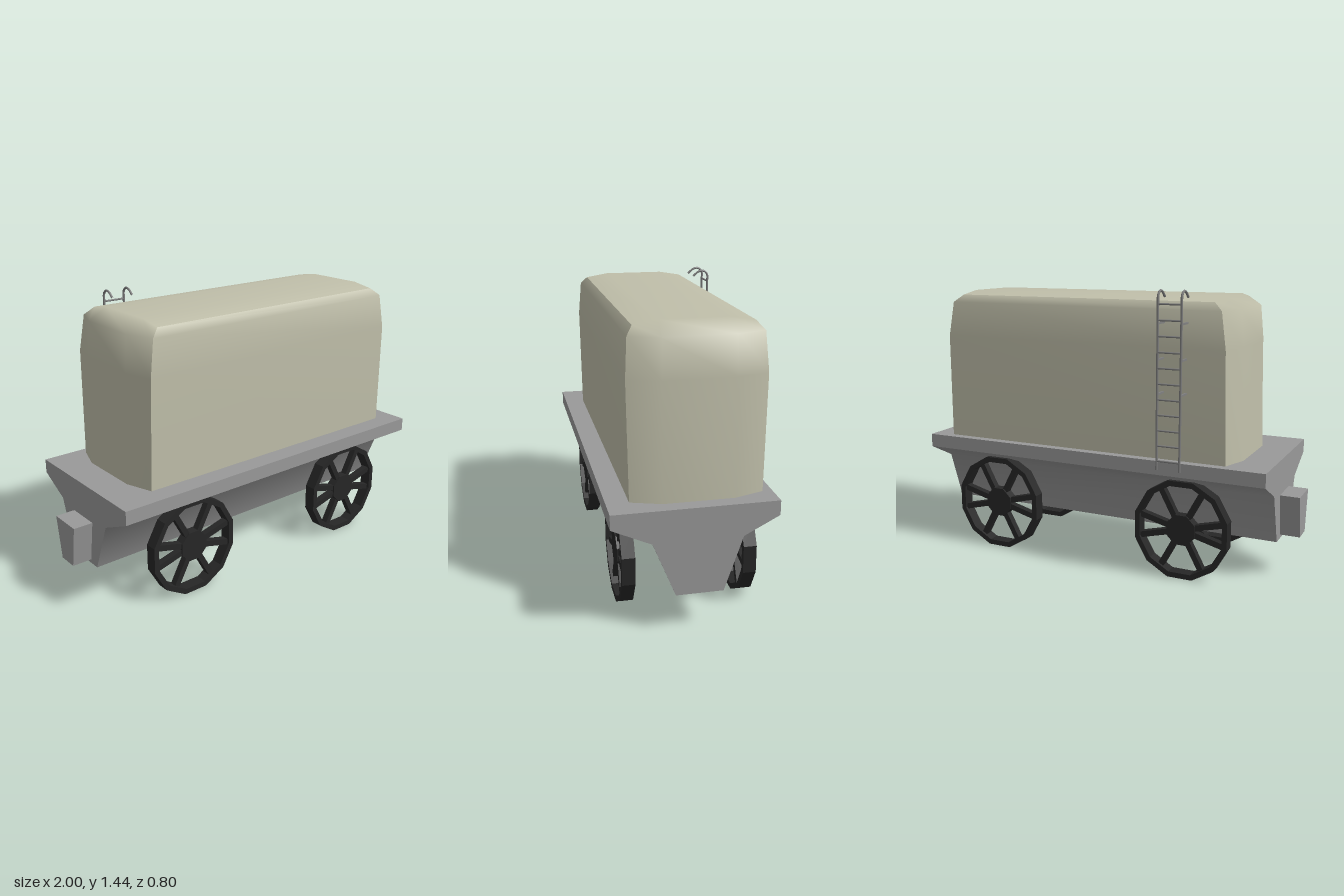
import * as THREE from 'three';
import { toCreasedNormals } from 'three/addons/utils/BufferGeometryUtils.js';

const mat = (color, flatShading = false) => new THREE.MeshStandardMaterial({ color, flatShading });
const steel = mat(0x999999);
const cream = mat(0xc0bfaa);
const black = mat(0x262626, true);
const ladderMat = mat(0x808080);

function add(parent, name, geometry, material, x = 0, y = 0, z = 0) {
  const mesh = new THREE.Mesh(geometry, material);
  mesh.name = name;
  mesh.position.set(x, y, z);
  parent.add(mesh);
  return mesh;
}

// Prism along x from a list of [z, y] profile points
function prism(profile, x0, x1) {
  const shape = new THREE.Shape(profile.map(([z, y]) => new THREE.Vector2(-z, y)));
  const geo = new THREE.ExtrudeGeometry(shape, { depth: x1 - x0, bevelEnabled: false });
  geo.rotateY(Math.PI / 2).translate(x0, 0, 0);
  return toCreasedNormals(geo, 0.9);
}

// Smooth panel from equal rows of points
function panel(rows) {
  const n = rows[0].length, index = [];
  for (let i = 0; i < rows.length - 1; i++) {
    for (let j = 0; j < n - 1; j++) {
      const a = i * n + j, b = a + n;
      index.push(a, a + 1, b, b, a + 1, b + 1);
    }
  }
  const geo = new THREE.BufferGeometry();
  geo.setAttribute('position', new THREE.Float32BufferAttribute(rows.flat(2), 3));
  geo.setIndex(index);
  geo.computeVertexNormals();
  return geo;
}

function makeTank() {
  const tank = new THREE.Group();
  tank.name = 'tank';
  const mid = 0.097, zMid = -0.01;
  // Levels: corner height, end height, corner half length and width, end half length and width
  const levels = [
    [0.61, 0.61, 0.787, 0.306, 0.834, 0.165],
    [1.16, 1.16, 0.777, 0.316, 0.817, 0.167],
    [1.34, 1.34, 0.75, 0.304, 0.802, 0.165],
    [1.378, 1.397, 0.705, 0.273, 0.705, 0.158],
  ];
  // Both ends and the roof form one continuous panel
  const endRow = s => ([yc, ye, xc, zc, xe, ze]) => [
    [s * xc, yc, -zc], [s * xe, ye, -ze], [s * xe, ye, ze], [s * xc, yc, zc],
  ];
  const roofRows = [...levels.map(endRow(-1)), ...levels.map(endRow(1)).reverse()];
  add(tank, 'tankEndsAndRoof', panel(roofRows), cream, mid, 0, zMid);
  // Long sides
  for (const s of [1, -1]) {
    const rows = levels.map(([y, , x, z]) => [[-s * x, y, s * z], [s * x, y, s * z]]);
    add(tank, s > 0 ? 'tankFrontSide' : 'tankBackSide', panel(rows), cream, mid, 0, zMid);
  }
  return tank;
}

// Twelve-sided outline with flats at top and bottom
function ring(PathType, radius) {
  const points = [];
  for (let i = 0; i < 12; i++) {
    const a = (i + 0.5) * Math.PI / 6;
    points.push(new THREE.Vector2(radius * Math.cos(a), radius * Math.sin(a)));
  }
  return new PathType(points);
}

function makeWheel() {
  const wheel = new THREE.Group();
  wheel.name = 'wheel';
  const depth = 0.063;
  const shape = ring(THREE.Shape, 0.26);
  shape.holes.push(ring(THREE.Path, 0.232));
  const rim = new THREE.ExtrudeGeometry(shape, { depth, bevelEnabled: false });
  add(wheel, 'rim', rim.translate(0, 0, -depth / 2), black);
  const hub = new THREE.CylinderGeometry(0.083, 0.083, 0.05, 8);
  add(wheel, 'hub', hub.rotateY(Math.PI / 8).rotateX(Math.PI / 2), black);
  for (const deg of [14, 61, 119, 166, 194, 241, 299, 346]) {
    const a = deg * Math.PI / 180;
    const spoke = add(wheel, 'spoke', new THREE.BoxGeometry(0.18, 0.03, 0.036), black,
      0.15 * Math.cos(a), 0.15 * Math.sin(a), 0);
    spoke.rotation.z = a;
  }
  wheel.scale.x = 0.97;
  return wheel;
}

function makeLadder() {
  const ladder = new THREE.Group();
  ladder.name = 'ladder';
  const xs = [-0.487, -0.369], r = 0.006, zRail = -0.393;
  for (const x of xs) {
    // Rail with a hooked top
    const path = new THREE.CurvePath();
    const pts = [[0.575, zRail], [1.405, zRail], [1.425, -0.382], [1.432, -0.358],
      [1.425, -0.338], [1.4, -0.31]].map(([y, z]) => new THREE.Vector3(x, y, z));
    for (let i = 1; i < pts.length; i++) path.add(new THREE.LineCurve3(pts[i - 1], pts[i]));
    add(ladder, 'ladderRail', new THREE.TubeGeometry(path, 60, r, 6), ladderMat);
    // Brackets to the tank
    for (const y of [0.945, 1.11, 1.28]) {
      add(ladder, 'ladderBracket', new THREE.BoxGeometry(0.009, 0.009, 0.085), ladderMat, x, y, -0.35);
    }
  }
  for (let i = 0; i < 11; i++) {
    const rung = new THREE.CylinderGeometry(0.005, 0.005, xs[1] - xs[0], 6).rotateZ(Math.PI / 2);
    add(ladder, 'ladderRung', rung, ladderMat, (xs[0] + xs[1]) / 2, 0.62 + i * 0.075, zRail);
  }
  return ladder;
}

export function createModel() {
  const model = new THREE.Group();
  model.name = 'tankWagon';

  // Flared chassis
  add(model, 'chassis', prism([
    [0.4, 0.61], [0.4, 0.54], [0.215, 0.455], [0.11, 0.195],
    [-0.11, 0.195], [-0.197, 0.455], [-0.362, 0.54], [-0.362, 0.61],
  ], -0.9, 1), steel);

  // Tapered coupling block
  add(model, 'coupler', prism([
    [0.09, 0.43], [0.055, 0.215], [-0.05, 0.215], [-0.085, 0.43],
  ], -1, -0.9), steel);

  model.add(makeTank(), makeLadder());

  for (const x of [-0.463, 0.607]) {
    for (const z of [0.295, -0.281]) {
      const wheel = makeWheel();
      wheel.position.set(x, 0.252, z);
      model.add(wheel);
    }
  }
  return model;
}
